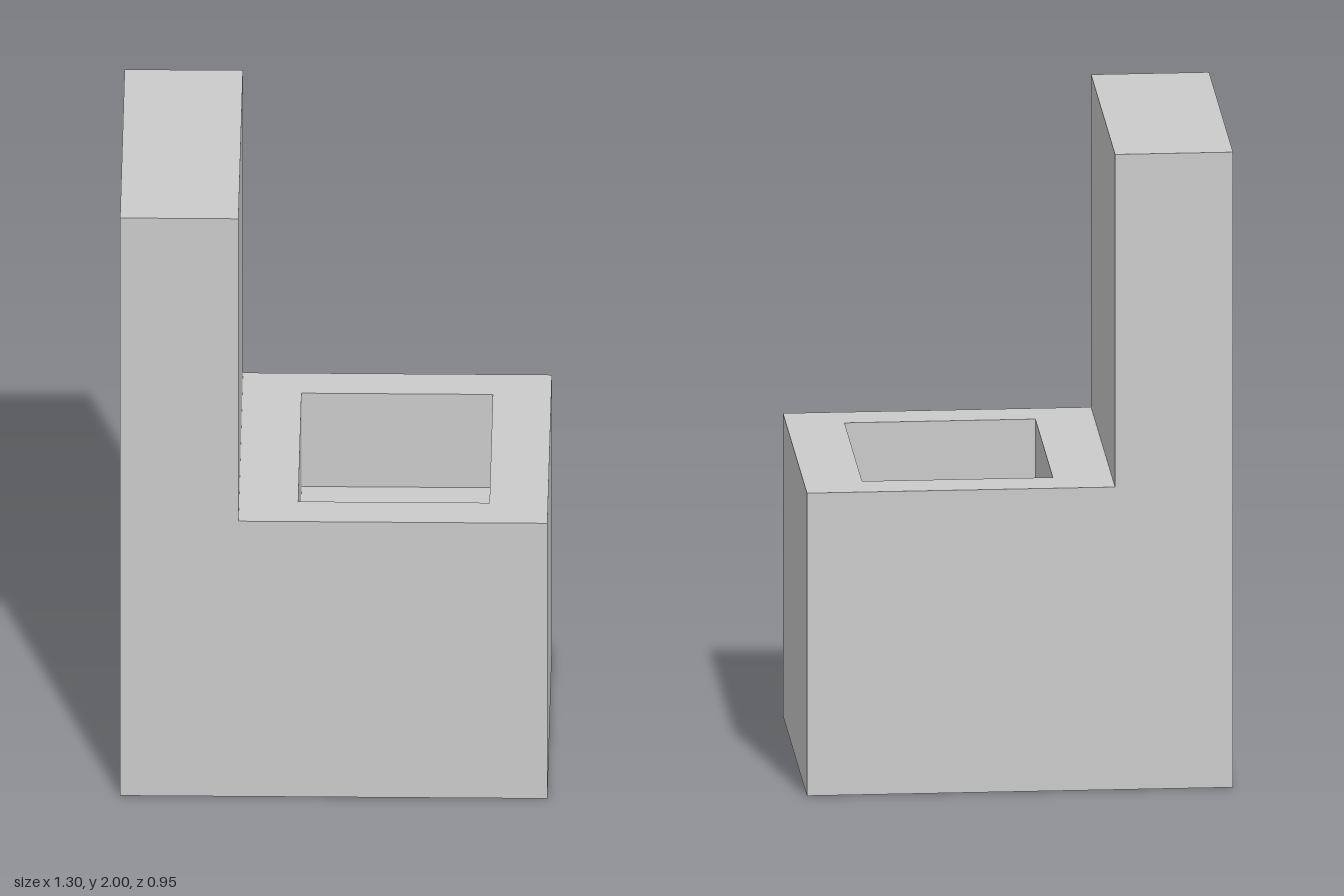
import * as THREE from 'three';
import { mergeGeometries } from 'three/addons/utils/BufferGeometryUtils.js';

const HALF_X = 0.65, HALF_Z = 0.473, HEIGHT = 2;
const SEAT_Y = 0.953, BACK_X = -0.29;
const POCKET = { x0: -0.11, x1: 0.472, z: 0.345, floorY: 0.63 };

// Flat four-cornered face, corners counter-clockwise from outside
function quad(a, b, c, d) {
  const g = new THREE.BufferGeometry();
  g.setAttribute('position', new THREE.Float32BufferAttribute([a, b, c, a, c, d].flat(), 3));
  g.computeVertexNormals();
  return g;
}

function flatShape(shape) {
  const g = new THREE.ShapeGeometry(shape).toNonIndexed();
  g.deleteAttribute('uv');
  return g;
}

const vectors = (points) => points.map(([x, y]) => new THREE.Vector2(x, y));

export function createModel() {
  const group = new THREE.Group();
  const material = new THREE.MeshStandardMaterial({ color: 0xcccccc, flatShading: true });
  const add = (name, parts) => {
    const mesh = new THREE.Mesh(mergeGeometries(parts), material);
    mesh.name = name;
    group.add(mesh);
  };

  // L-shaped block: two profile sides plus a wall along each edge except the seat
  const profile = [
    [-HALF_X, 0], [HALF_X, 0], [HALF_X, SEAT_Y],
    [BACK_X, SEAT_Y], [BACK_X, HEIGHT], [-HALF_X, HEIGHT],
  ];
  const side = flatShape(new THREE.Shape(vectors(profile)));
  const block = [
    side.clone().translate(0, 0, HALF_Z),
    // Mirror the profile by turning it about its own centre line
    flatShape(new THREE.Shape(vectors(profile.map(([x, y]) => [-x, y]))))
      .rotateY(Math.PI).translate(0, 0, -HALF_Z),
  ];
  profile.forEach((p, i) => {
    const q = profile[(i + 1) % profile.length];
    if (p[1] === SEAT_Y && q[1] === SEAT_Y) return;
    block.push(quad([...p, HALF_Z], [...p, -HALF_Z], [...q, -HALF_Z], [...q, HALF_Z]));
  });
  add('block', block);

  // Seat surface with the pocket opening
  const { x0, x1, z, floorY } = POCKET;
  const seat = new THREE.Shape(vectors([
    [BACK_X, -HALF_Z], [HALF_X, -HALF_Z], [HALF_X, HALF_Z], [BACK_X, HALF_Z],
  ]));
  seat.holes.push(new THREE.Path(vectors([[x0, -z], [x0, z], [x1, z], [x1, -z]])));
  add('seatRim', [flatShape(seat).rotateX(-Math.PI / 2).translate(0, SEAT_Y, 0)]);

  // Pocket: floor and four inward-facing walls
  const corners = [[x0, z], [x1, z], [x1, -z], [x0, -z]];
  const at = ([x, cz], y) => [x, y, cz];
  const pocket = [quad(...corners.map((c) => at(c, floorY)))];
  corners.forEach((p, i) => {
    const q = corners[(i + 1) % 4];
    pocket.push(quad(at(p, SEAT_Y), at(q, SEAT_Y), at(q, floorY), at(p, floorY)));
  });
  add('pocket', pocket);

  return group;
}
